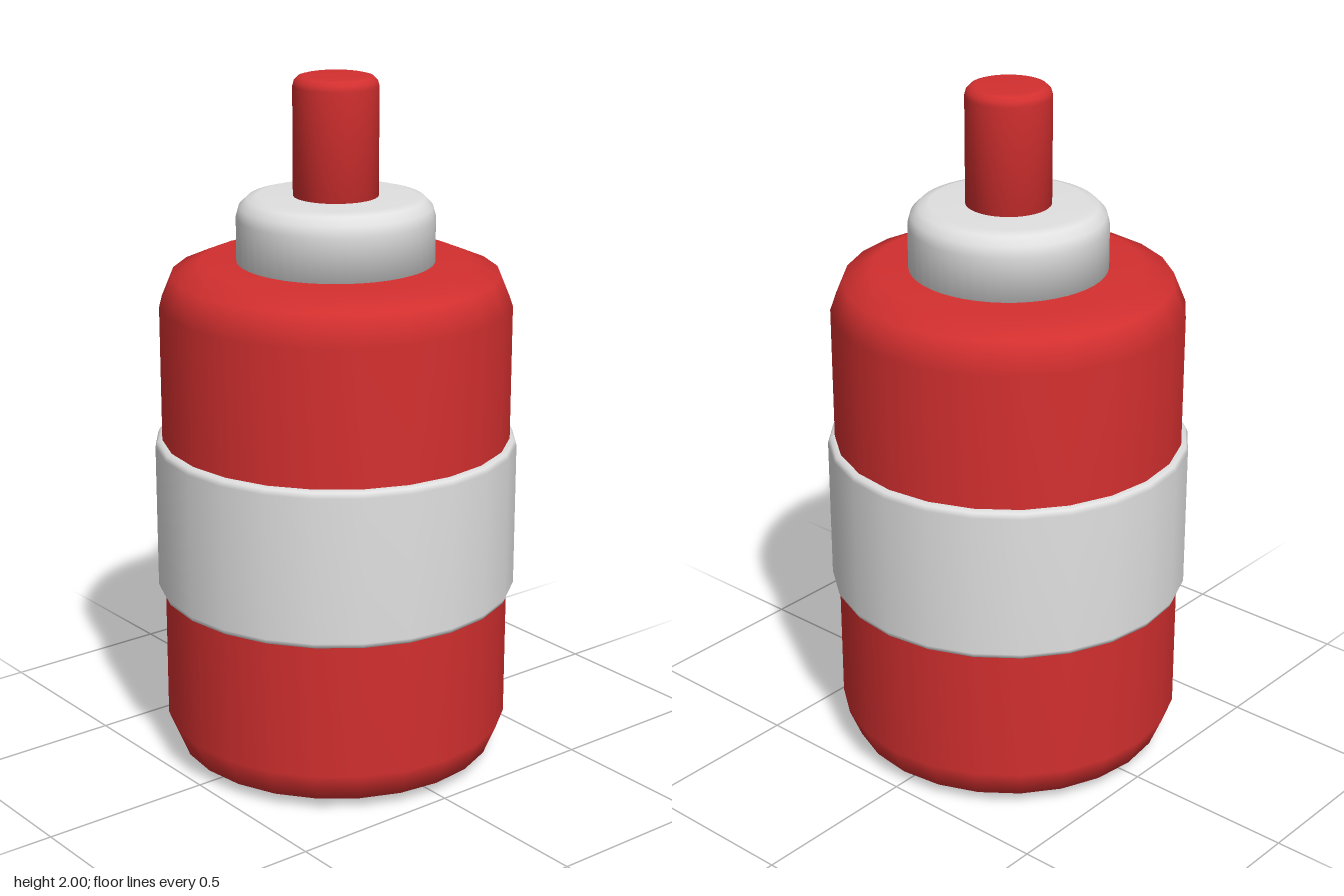
import * as THREE from 'three';

const red = new THREE.MeshStandardMaterial({ color: 0xd32f2f });
red.name = 'red';
const lightGrey = new THREE.MeshStandardMaterial({ color: 0xe0e0e0 });
lightGrey.name = 'light grey';

// Upright closed cylinder with rounded rims: radius r, from y0 to y1.
function roundedCylinder(name, material, r, y0, y1, bevel, steps, sides, bevelBottom = true) {
  const points = [new THREE.Vector2(0, y0)];
  const arc = (cy, from) => {
    for (let i = 0; i <= steps; i++) {
      const a = from + (i / steps) * Math.PI / 2;
      points.push(new THREE.Vector2(r - bevel + Math.cos(a) * bevel, cy + Math.sin(a) * bevel));
    }
  };
  if (bevelBottom) arc(y0 + bevel, -Math.PI / 2);
  else points.push(new THREE.Vector2(r, y0));
  arc(y1 - bevel, 0);
  points.push(new THREE.Vector2(0, y1));
  const mesh = new THREE.Mesh(new THREE.LatheGeometry(points, sides), material);
  mesh.name = name;
  return mesh;
}

export function createModel() {
  const group = new THREE.Group();
  group.name = 'canister';
  group.add(
    roundedCylinder('body', red, 0.5, 0, 1.48, 0.12, 2, 24),
    roundedCylinder('band', lightGrey, 0.52, 0.51, 0.97, 0.02, 2, 24),
    roundedCylinder('collar', lightGrey, 0.28, 1.42, 1.665, 0.06, 3, 48, false),
    roundedCylinder('stem', red, 0.12, 1.6, 2, 0.03, 3, 48, false),
  );
  return group;
}
